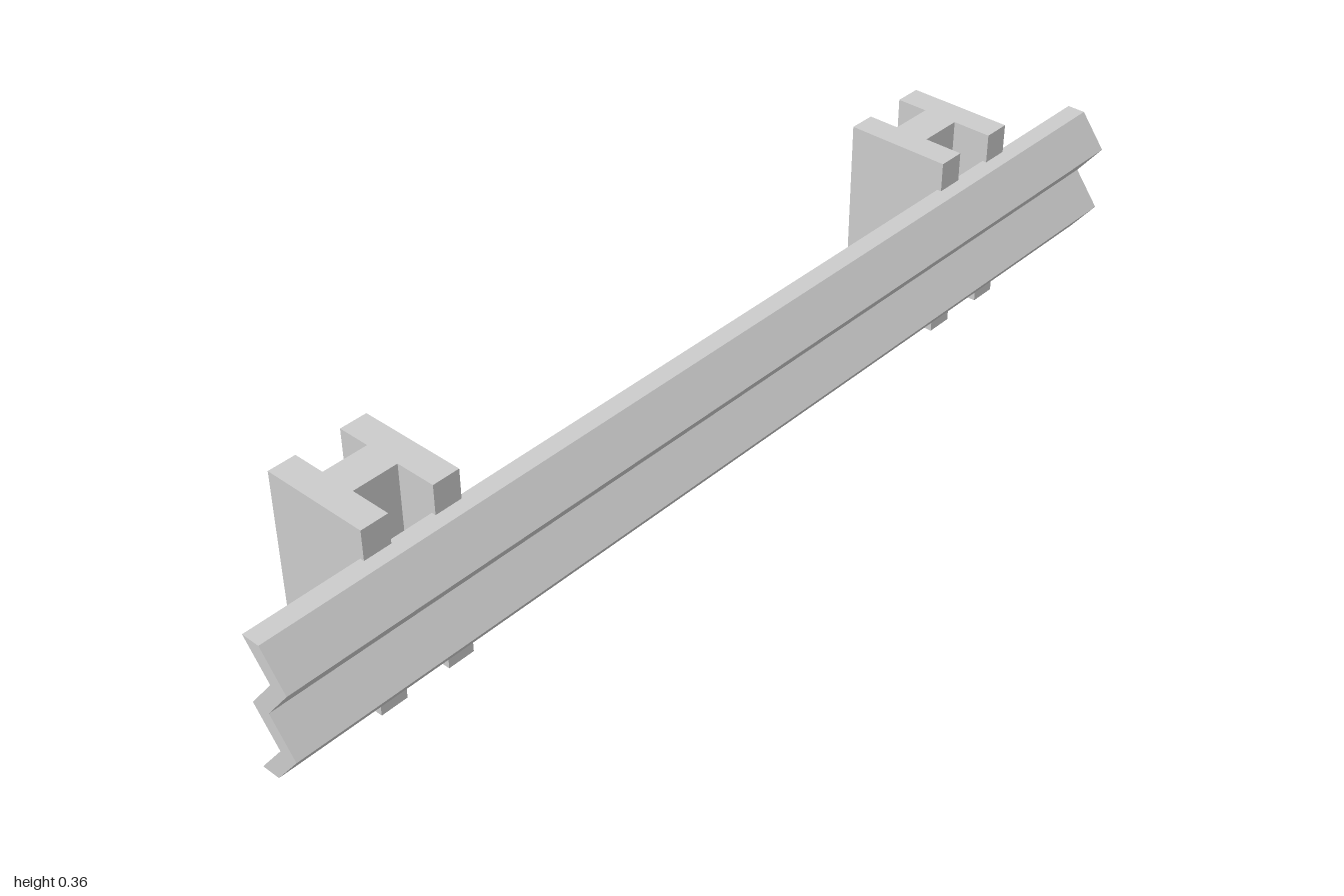
import * as THREE from 'three';

const material = new THREE.MeshStandardMaterial({ color: 0xcccccc, flatShading: true });

function extrude(points, depth) {
  const shape = new THREE.Shape(points.map(([a, b]) => new THREE.Vector2(a, b)));
  return new THREE.ExtrudeGeometry(shape, { depth, bevelEnabled: false });
}

// Zigzag beam: profile in (z, y), swept along x
function makeRail() {
  const heights = [0.05, 0.113, 0.177, 0.24, 0.304];
  const front = heights.map((y, i) => [i % 2 ? 0.14 : 0.091, y]);
  const back = heights.map((y, i) => [i % 2 ? 0.105 : 0.056, y]).reverse();
  const geometry = extrude([...front, ...back], 2);
  geometry.rotateY(-Math.PI / 2).translate(1, 0, 0);
  const rail = new THREE.Mesh(geometry, material);
  rail.name = 'corrugatedRail';
  return rail;
}

// H-section post: profile in (x, -z), swept upwards
function makePost(name, x) {
  const w = 0.095, inner = 0.043;
  const front = -0.064, webFront = 0.012, webBack = 0.079, back = 0.14;
  const geometry = extrude([
    [-w, front], [-inner, front], [-inner, webFront], [inner, webFront],
    [inner, front], [w, front], [w, back], [inner, back],
    [inner, webBack], [-inner, webBack], [-inner, back], [-w, back],
  ], 0.36);
  geometry.rotateX(-Math.PI / 2);
  const post = new THREE.Mesh(geometry, material);
  post.name = name;
  post.position.x = x;
  return post;
}

export function createModel() {
  const model = new THREE.Group();
  model.name = 'guardRail';
  model.add(makeRail(), makePost('rightPost', -0.692), makePost('leftPost', 0.677));
  return model;
}
